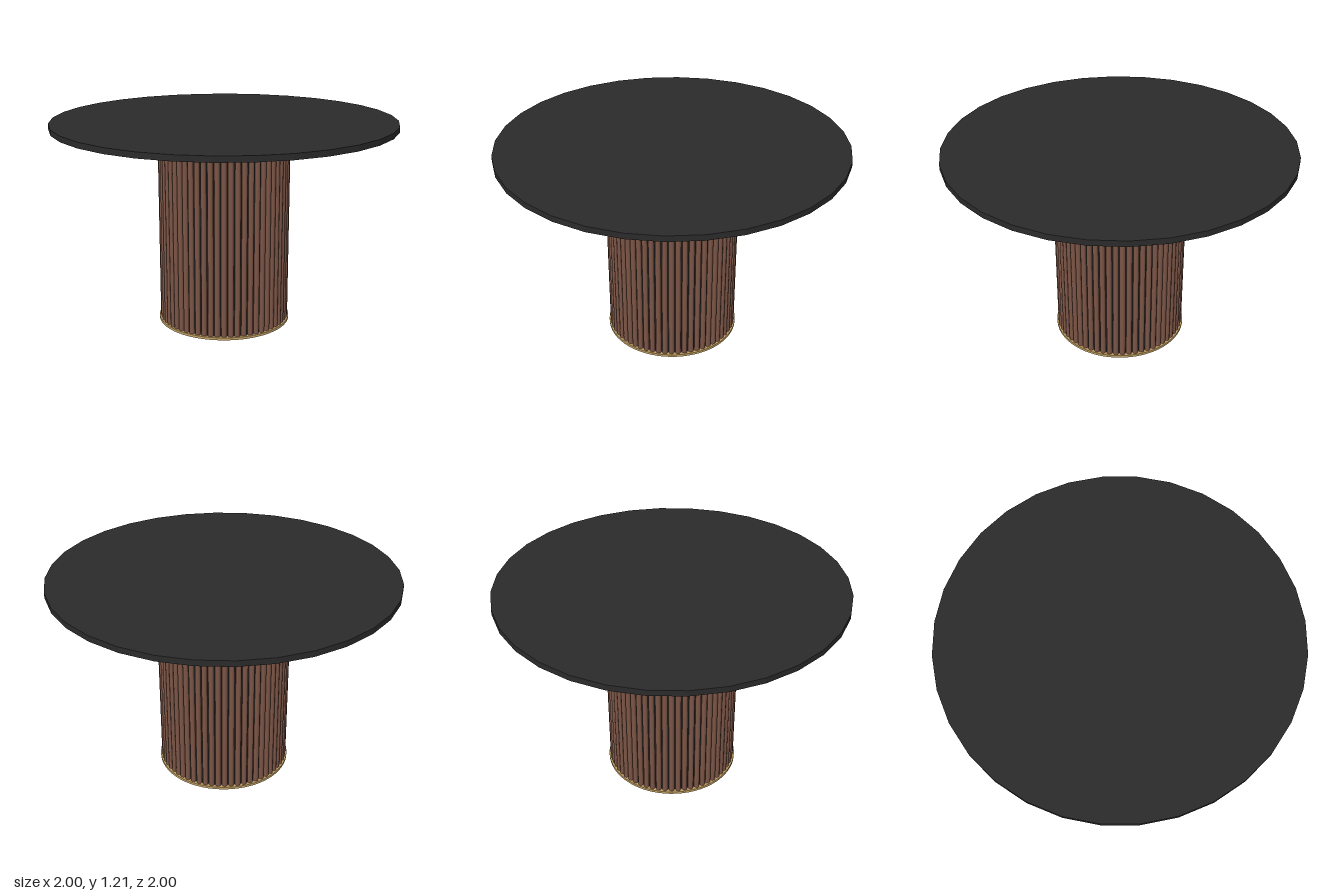
import * as THREE from 'three';

export function createModel() {
  const table = new THREE.Group();
  table.name = 'pedestalTable';

  const black = new THREE.MeshStandardMaterial({ color: 0x2b2b2b });
  black.name = 'matte black';
  const wood = new THREE.MeshStandardMaterial({ color: 0x7d5647 });
  wood.name = 'walnut';
  const brass = new THREE.MeshStandardMaterial({ color: 0xc2a063 });
  brass.name = 'brass';

  // Upright disc spanning bottom..top
  function disc(name, radius, bottom, top, sides, material) {
    let geometry = new THREE.CylinderGeometry(radius, radius, top - bottom, sides).toNonIndexed();
    geometry.computeVertexNormals();
    const mesh = new THREE.Mesh(geometry, material);
    mesh.name = name;
    mesh.position.y = (bottom + top) / 2;
    table.add(mesh);
  }

  disc('tableTop', 1, 1.177, 1.21, 32, black);
  disc('upperRing', 0.393, 1.163, 1.177, 64, brass);
  disc('baseRing', 0.393, 0, 0.015, 64, brass);
  disc('columnCore', 0.368, 0.015, 1.163, 60, black);

  // Rounded vertical slats around the core
  const slats = new THREE.Group();
  slats.name = 'slats';
  const count = 60;
  const slatGeometry = new THREE.CylinderGeometry(0.0165, 0.0165, 1.148, 8, 1, true);
  for (let i = 0; i < count; i++) {
    const angle = (i / count) * Math.PI * 2;
    const slat = new THREE.Mesh(slatGeometry, wood);
    slat.name = 'slat';
    slat.position.set(Math.sin(angle) * 0.369, 0.589, Math.cos(angle) * 0.369);
    slat.rotation.y = angle;
    slats.add(slat);
  }
  table.add(slats);

  return table;
}
